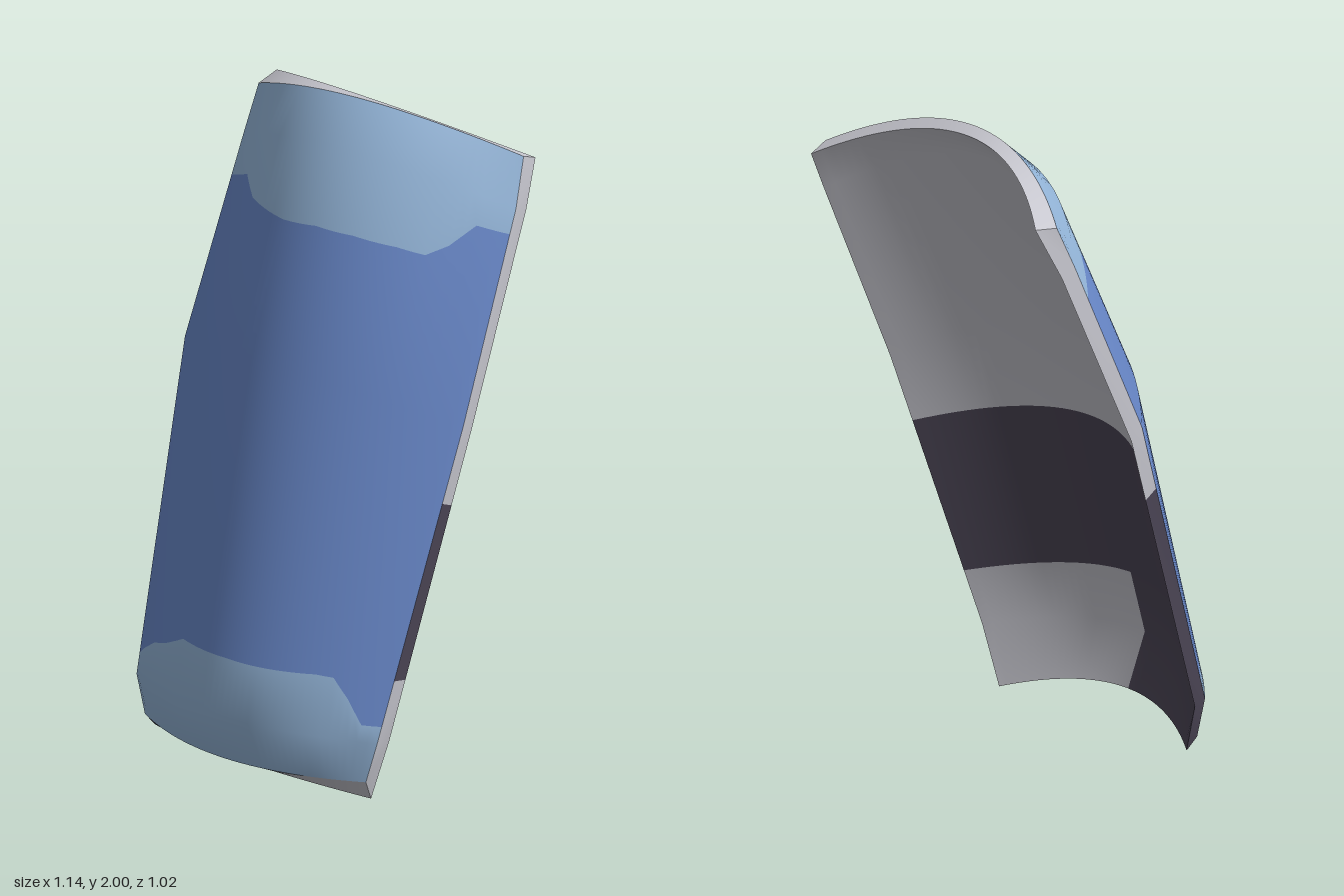
import * as THREE from 'three';

const material = (name, color, side) => {
  const m = new THREE.MeshStandardMaterial({ color });
  m.name = name;
  return m;
};

// Cross-section rings from bottom to top: [left end, crown, right end] of each arc
const OUTER = [
  [[0.02, 0.07, 0.49], [-0.36, 0.095, 0.335], [-0.55, 0.075, -0.04]],
  [[0.05, 0.2, 0.51], [-0.405, 0.26, 0.38], [-0.573, 0.2, -0.05]],
  [[0.32, 1.13, 0.37], [-0.2, 1.29, 0.22], [-0.4, 1.16, -0.28]],
  [[0.5, 1.73, 0.185], [0, 1.89, 0.04], [-0.21, 1.73, -0.42]],
  [[0.53, 1.87, 0.13], [0.09, 2, -0.04], [-0.16, 1.87, -0.46]],
];
const INNER = [
  [[0.04, 0, 0.455], [-0.325, 0.075, 0.3], [-0.52, 0.035, -0.05]],
  [[0.09, 0.19, 0.475], [-0.37, 0.24, 0.34], [-0.545, 0.19, -0.085]],
  [[0.35, 1.1, 0.33], [-0.165, 1.27, 0.18], [-0.37, 1.13, -0.31]],
  [[0.535, 1.71, 0.15], [0.035, 1.875, 0], [-0.175, 1.71, -0.46]],
  [[0.57, 1.845, 0.09], [0.12, 1.985, -0.07], [-0.1, 1.885, -0.51]],
];

// Quadratic through three values at t = -1, 0, 1
const arc = (a, c, b, t) => a * (t * t - t) / 2 + c * (1 - t * t) + b * (t * t + t) / 2;

// Point of a shell wall: t runs round the arc, v runs up the rings
function wall(rings, t, v) {
  const k = Math.min(Math.floor(v), rings.length - 2), f = v - k;
  return [0, 1, 2].map((n) => {
    const at = (r) => arc(r[0][n], r[1][n], r[2][n], t);
    return at(rings[k]) * (1 - f) + at(rings[k + 1]) * f;
  });
}

// Ring parameter v at which the wall reaches height y
function heightToV(rings, t, y) {
  for (let k = 0; k < rings.length - 1; k++) {
    const y0 = wall(rings, t, k)[1], y1 = wall(rings, t, k + 1)[1];
    if (y <= y1) return k + (y - y0) / (y1 - y0);
  }
  return rings.length - 1;
}

// Piecewise linear curve through [t, y] knots
function along(knots, t) {
  for (let i = 1; i < knots.length; i++) {
    const [t0, y0] = knots[i - 1], [t1, y1] = knots[i];
    if (t <= t1) return y0 + (y1 - y0) * (t - t0) / (t1 - t0);
  }
  return knots[knots.length - 1][1];
}

// Smooth grid mesh whose cells are grouped by material
function sheet(name, cols, rows, point, pick, flip, materials) {
  const pos = [], lists = materials.map(() => []);
  for (let j = 0; j <= rows; j++) for (let i = 0; i <= cols; i++) pos.push(...point(i, j));
  for (let j = 0; j < rows; j++) {
    for (let i = 0; i < cols; i++) {
      const a = j * (cols + 1) + i, b = a + 1, d = a + cols + 1, c = d + 1;
      lists[pick(i, j)].push(...(flip ? [a, c, b, a, d, c] : [a, b, c, a, c, d]));
    }
  }
  const geo = new THREE.BufferGeometry();
  geo.setAttribute('position', new THREE.Float32BufferAttribute(pos, 3));
  geo.setIndex(lists.flat());
  let start = 0;
  lists.forEach((l, m) => {
    if (l.length) geo.addGroup(start, l.length, m);
    start += l.length;
  });
  geo.computeVertexNormals();
  const mesh = new THREE.Mesh(geo, materials);
  mesh.name = name;
  return mesh;
}

export function createModel() {
  const blue = material('blue', 0x6a8acc);
  const lightBlue = material('light blue', 0x96b8dc);
  const grey = material('light grey', 0xc6c6ce);
  const dark = material('dark grey', 0x4c4656);

  const COLS = 40;
  const tOf = (i) => -1 + (2 * i) / COLS;

  // Wavy borders of the painted bands on the outside
  const lowBorder = [[-1, 0.25], [-0.9, 0.26], [-0.8, 0.34], [-0.7, 0.405], [-0.6, 0.415], [0, 0.43],
    [0.4, 0.43], [0.6, 0.38], [0.75, 0.35], [0.9, 0.3], [1, 0.26]];
  const highBorder = [[-1, 1.66], [-0.85, 1.695], [-0.75, 1.645], [-0.65, 1.622], [-0.5, 1.645],
    [-0.25, 1.668], [0, 1.675], [0.25, 1.66], [0.6, 1.655], [0.75, 1.685], [1, 1.615]];
  const outerRows = (t) => [0, 1, heightToV(OUTER, t, along(lowBorder, t)), 2,
    heightToV(OUTER, t, along(highBorder, t)), 3, 4];

  // Lining: dark lower part with a light patch in its left corner
  const innerRows = (t) => [0, 1, heightToV(INNER, t, arc(0.37, 0.44, 0.44, t)),
    heightToV(INNER, t, arc(0.88, 0.97, 0.92, t)), 2, 3, 4];
  const inPatch = (i) => tOf(i) < 0.04;
  const liningColour = (patch, j) => (j > 2 || (patch && j < 2) ? 0 : 1);

  const group = new THREE.Group();
  group.name = 'curvedGuard';

  group.add(sheet('outerShell', COLS, 6,
    (i, j) => wall(OUTER, tOf(i), outerRows(tOf(i))[j]),
    (i, j) => (j < 2 || j > 3 ? 1 : 0), true, [blue, lightBlue]));

  group.add(sheet('innerLining', COLS, 6,
    (i, j) => wall(INNER, tOf(i), innerRows(tOf(i))[j]),
    (i, j) => liningColour(inPatch(i), j), false, [grey, dark]));

  // Long side edges join the outer and inner walls
  for (const [name, t] of [['leftEdge', -1], ['rightEdge', 1]]) {
    group.add(sheet(name, 1, 6,
      (i, j) => wall(i ? INNER : OUTER, t, innerRows(t)[j]),
      (i, j) => liningColour(t < 0, j), t > 0, [grey, dark]));
  }

  // Rims close the top and the bottom
  for (const [name, v] of [['bottomRim', 0], ['topRim', 4]]) {
    group.add(sheet(name, COLS, 1,
      (i, j) => wall(j ? INNER : OUTER, tOf(i), v),
      (i) => (v > 0 || inPatch(i) ? 0 : 1), v > 0, [grey, dark]));
  }
  return group;
}
